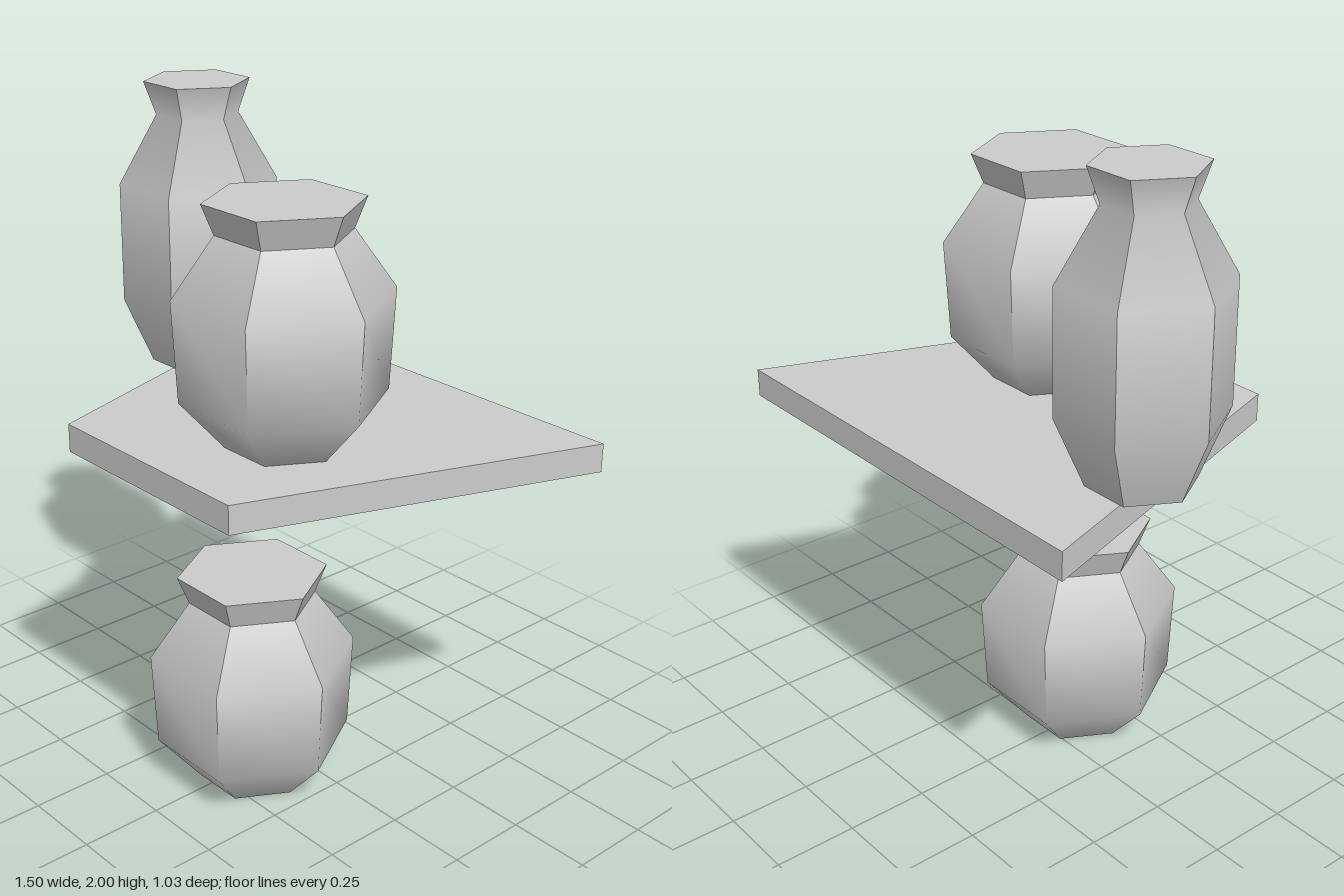
import * as THREE from 'three';

const SIDES = 6;
const APOTHEM = Math.cos(Math.PI / SIDES);

// Six-sided closed vessel. Each ring is [radius, height, shading]:
// 'sharp' = crease all round, 'panel' = smooth up and down only, 'round' = smooth every way.
function vesselGeometry(rings) {
  const positions = [], normals = [];
  const step = (Math.PI * 2) / SIDES;
  const tilts = rings.slice(1).map(([r, y], i) =>
    Math.atan2((rings[i][0] - r) * APOTHEM, y - rings[i][1]));

  const point = (i, k) => {
    const [r, y] = rings[i];
    return [r * Math.cos(k * step), y, r * Math.sin(k * step)];
  };
  const normal = (i, band, k, panel) => {
    const kind = rings[i][2];
    const below = tilts[Math.max(i - 1, 0)];
    const above = tilts[Math.min(i, tilts.length - 1)];
    const tilt = kind === 'sharp' ? tilts[band] : (below + above) / 2;
    const a = (kind === 'round' ? k : panel + 0.5) * step;
    return [Math.cos(tilt) * Math.cos(a), Math.sin(tilt), Math.cos(tilt) * Math.sin(a)];
  };

  for (let p = 0; p < SIDES; p++) {
    // side panel
    for (let b = 0; b < tilts.length; b++) {
      const corners = [[b, p], [b + 1, p], [b + 1, p + 1], [b, p], [b + 1, p + 1], [b, p + 1]];
      for (const [i, k] of corners) {
        positions.push(...point(i, k));
        normals.push(...normal(i, b, k, p));
      }
    }
    // slices of the base and lid
    const top = rings.length - 1;
    positions.push(0, rings[0][1], 0, ...point(0, p), ...point(0, p + 1));
    normals.push(0, -1, 0, 0, -1, 0, 0, -1, 0);
    positions.push(0, rings[top][1], 0, ...point(top, p + 1), ...point(top, p));
    normals.push(0, 1, 0, 0, 1, 0, 0, 1, 0);
  }

  const geometry = new THREE.BufferGeometry();
  geometry.setAttribute('position', new THREE.Float32BufferAttribute(positions, 3));
  geometry.setAttribute('normal', new THREE.Float32BufferAttribute(normals, 3));
  return geometry;
}

export function createModel() {
  const group = new THREE.Group();
  const clay = new THREE.MeshStandardMaterial({ color: 0xcccccc });
  clay.name = 'grey clay';

  const add = (name, geometry, x, y, z) => {
    const mesh = new THREE.Mesh(geometry, clay);
    mesh.name = name;
    mesh.position.set(x, y, z);
    group.add(mesh);
  };

  // two matching squat pots
  const pot = vesselGeometry([
    [0.168, 0, 'round'],
    [0.292, 0.14, 'round'],
    [0.307, 0.43, 'panel'],
    [0.188, 0.6, 'sharp'],
    [0.222, 0.685, 'sharp'],
  ]);
  add('lowerPot', pot, 0.025, 0, 0.14);
  add('upperPot', pot, 0.168, 1.14, 0.14);

  // tall vase
  const vase = vesselGeometry([
    [0.153, 0, 'panel'],
    [0.237, 0.2, 'panel'],
    [0.237, 0.56, 'panel'],
    [0.122, 0.762, 'panel'],
    [0.157, 0.86, 'panel'],
  ]);
  add('tallVase', vase, -0.517, 1.14, -0.118);

  // tapered shelf board
  const outline = new THREE.Shape([
    new THREE.Vector2(-0.335, -0.512),
    new THREE.Vector2(0.375, -0.512),
    new THREE.Vector2(0.75, 0.515),
    new THREE.Vector2(-0.665, 0.515),
  ]);
  const board = new THREE.ExtrudeGeometry(outline, { depth: 0.085, bevelEnabled: false });
  board.rotateX(-Math.PI / 2);
  add('shelf', board, 0, 1.055, 0);

  return group;
}
